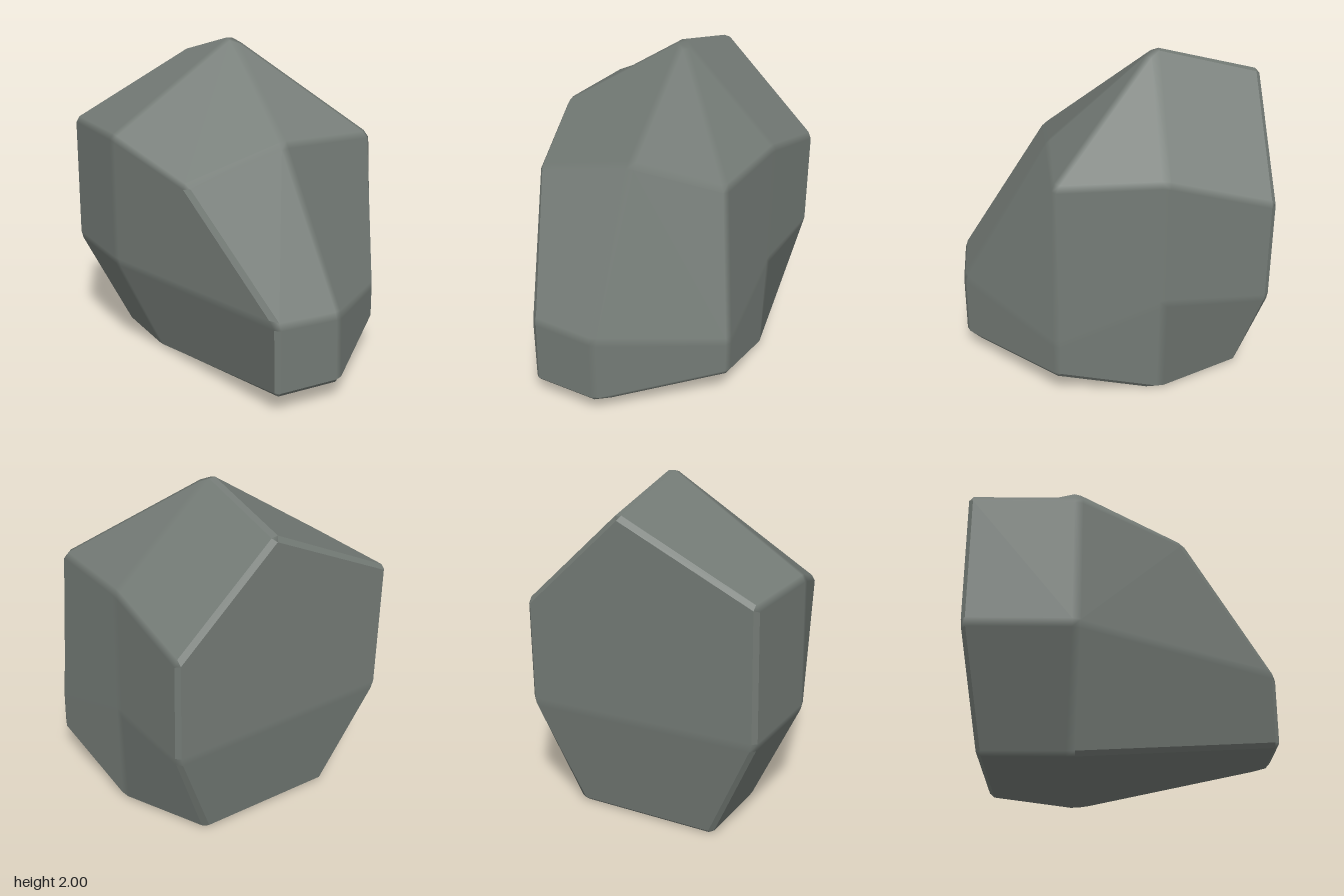
import * as THREE from 'three';

const stone = new THREE.MeshStandardMaterial({ color: 0x737a75 });
stone.name = 'stone grey';

// Corners of the boulder
const corners = {
  // back face and its sloping foot
  b0: [0.07, 1.86, -0.91], b1: [0.7, 1.28, -0.91], b2: [0.7, 0.65, -0.91], b3: [0.43, 0, -0.8],
  b4: [-0.45, 0, -0.8], b5: [-0.77, 0.66, -0.89], b6: [-0.77, 1.46, -0.89],
  // widest ring, under the summit
  m0: [0.07, 2.02, -0.28], m1: [0.705, 1.44, -0.28], m2: [0.705, 0.65, -0.28], m3: [0.69, 0, -0.28],
  m4: [-0.45, 0, -0.28], m5: [-0.77, 0.66, -0.25], m6: [-0.77, 1.46, -0.25],
  // brow and left flank
  f0: [0.08, 1.44, 0.36], f1: [0.705, 1.44, 0.36], f2: [0.765, 0.43, 0.36], f3: [0.765, 0.2, 0.36],
  f4: [-0.58, 1.27, 0.36],
  // nose
  n0: [0.14, 0.54, 0.913], n1: [0.15, 0.115, 0.913], n2: [-0.28, 0.115, 0.913], n3: [-0.28, 0.55, 0.913],
};

// Facets, counter-clockwise from outside; each is filled as a fan from its first corner
const facets = [
  'b0 b1 b2 b5 b6', 'b2 b3 b4 b5', // back
  'b0 b6 m6 m0', 'b0 m0 m1 b1', // roof
  'm0 m6 f4 f0', 'm0 f0 f1', 'm0 f1 m1', // forehead
  'b1 m1 m2 b2', 'b2 m2 m3 b3', 'm1 f1 f2 m2', 'm2 f2 f3 m3', // left side
  'b6 b5 m5 m6', 'b5 b4 m4 m5', 'f4 m6 m5 n3', 'm5 m4 n2 n3', // right side
  'f0 f4 n3 n0', 'f0 n0 f2 f1', 'n0 n1 f3 f2', 'n0 n3 n2 n1', // front
  'b3 m3 m4 b4', 'm3 n1 n2 m4', 'm3 f3 n1', // underside
].map((s) => s.split(' '));

// Average normal of a polygon
function polygonNormal(points) {
  const n = new THREE.Vector3();
  points.forEach((p, i) => n.add(p.clone().cross(points[(i + 1) % points.length])));
  return n.normalize();
}

// Flat facets joined by narrow chamfers: soft on blunt edges, crisp on sharp ones
function chamferedSolid(width) {
  const position = [];
  const normal = [];
  const fan = (points, normals) => {
    for (let i = 1; i < points.length - 1; i++) {
      for (const k of [0, i, i + 1]) {
        position.push(...points[k].toArray());
        normal.push(...normals[k].toArray());
      }
    }
  };

  // Inset facets
  const owner = {};
  const faces = facets.map((names) => {
    const ring = names.map((name) => new THREE.Vector3(...corners[name]));
    if (polygonNormal(ring).dot(ring[0].clone().add(ring[2]).sub(new THREE.Vector3(0, 1.8, 0))) < 0) {
      names = [names[0], ...names.slice(1).reverse()];
      ring.splice(1, ring.length - 1, ...ring.slice(1).reverse());
    }
    const count = names.length;
    const face = { names, normal: polygonNormal(ring), at: {} };
    names.forEach((name, i) => {
      const next = ring[(i + 1) % count].clone().sub(ring[i]).normalize();
      const prev = ring[(i + count - 1) % count].clone().sub(ring[i]).normalize();
      const sine = Math.sin(next.angleTo(prev));
      face.at[name] = ring[i].clone().addScaledVector(next.add(prev), width / sine);
      owner[name + names[(i + 1) % count]] = face;
    });
    fan(names.map((name) => face.at[name]), names.map(() => face.normal));
    return face;
  });
  const after = (face, name) => face.names[(face.names.indexOf(name) + 1) % face.names.length];

  // Chamfer strips along the edges
  for (const face of faces) {
    for (const p of face.names) {
      const q = after(face, p);
      const other = owner[q + p];
      if (p > q) continue;
      const strip = [face.at[q], face.at[p], other.at[p], other.at[q]];
      const crisp = face.normal.dot(other.normal) < 0.35;
      const flat = polygonNormal(strip);
      fan(strip, crisp ? [flat, flat, flat, flat] : [face.normal, face.normal, other.normal, other.normal]);
    }
  }

  // Caps at the corners
  for (const name of Object.keys(corners)) {
    const start = faces.find((face) => face.names.includes(name));
    const around = [];
    let face = start;
    do {
      around.unshift(face);
      face = owner[after(face, name) + name];
    } while (face !== start);
    fan(around.map((f) => f.at[name]), around.map((f) => f.normal));
  }

  const geometry = new THREE.BufferGeometry();
  geometry.setAttribute('position', new THREE.Float32BufferAttribute(position, 3));
  geometry.setAttribute('normal', new THREE.Float32BufferAttribute(normal, 3));
  return geometry;
}

export function createModel() {
  const group = new THREE.Group();
  group.name = 'rock';
  const boulder = new THREE.Mesh(chamferedSolid(0.025), stone);
  boulder.name = 'boulder';
  group.add(boulder);
  return group;
}
